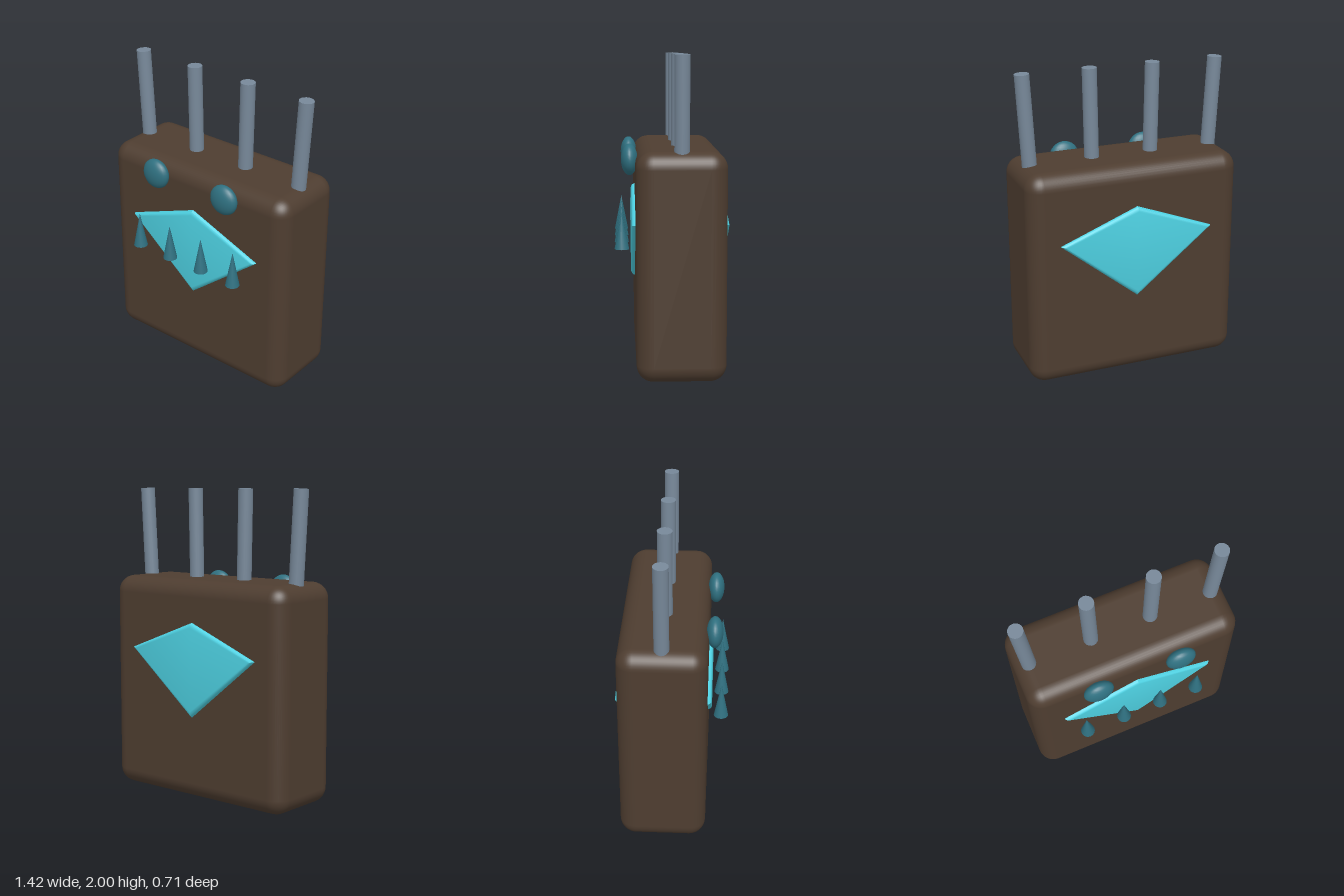
import * as THREE from 'three';
import { RoundedBoxGeometry } from 'three/addons/geometries/RoundedBoxGeometry.js';
import { toCreasedNormals } from 'three/addons/utils/BufferGeometryUtils.js';

const MID_Z = -0.053; // centre of the body's depth

export function createModel() {
  const model = new THREE.Group();
  model.name = 'model';

  const paint = (color) => new THREE.MeshStandardMaterial({ color });
  const brown = paint(0x4e3d30);
  const cyan = paint(0x4dd0e1);
  const teal = paint(0x2f7080);
  const steel = paint(0x778899);

  const add = (name, geometry, material, x, y, z) => {
    const mesh = new THREE.Mesh(geometry, material);
    mesh.name = name;
    mesh.position.set(x, y, z);
    model.add(mesh);
    return mesh;
  };

  // Rounded slab body
  add('body', new RoundedBoxGeometry(1.42, 1.42, 0.555, 5, 0.105), brown, 0, 0.71, MID_Z);

  // Kite-shaped plate running through the body, showing on front and back
  const kite = new THREE.Shape([
    new THREE.Vector2(0, 0.579),
    new THREE.Vector2(0.472, 0.949),
    new THREE.Vector2(0, 1.123),
    new THREE.Vector2(-0.472, 0.949),
  ]);
  const plate = new THREE.ExtrudeGeometry(kite, {
    depth: 0.545,
    bevelEnabled: true,
    bevelSize: 0.03,
    bevelThickness: 0.03,
    bevelSegments: 4,
  });
  plate.translate(0, 0, -0.2725);
  add('mouthPlate', toCreasedNormals(plate, 0.6), cyan, 0, 0, MID_Z);

  // Flattened eyes
  const eye = new THREE.SphereGeometry(0.099, 24, 16);
  for (const side of [-1, 1]) {
    add(side < 0 ? 'rightEye' : 'leftEye', eye, teal, side * 0.278, 1.34, 0.26).scale.z = 0.53;
  }

  // Row of pointed teeth in front of the plate
  const tooth = new THREE.ConeGeometry(0.046, 0.235, 16);
  for (let i = 0; i < 4; i++) {
    add('tooth' + (i + 1), tooth, teal, -0.39 + i * 0.26, 0.907, 0.31);
  }

  // Poles fanning slightly outward from the top
  const pole = new THREE.CylinderGeometry(0.047, 0.047, 0.64, 20);
  pole.translate(0, 0.32, 0);
  [-0.611, -0.2, 0.2, 0.611].forEach((x, i) => {
    add('pole' + (i + 1), pole, steel, x, 1.358, MID_Z).rotation.z = -x * 0.09;
  });

  return model;
}
